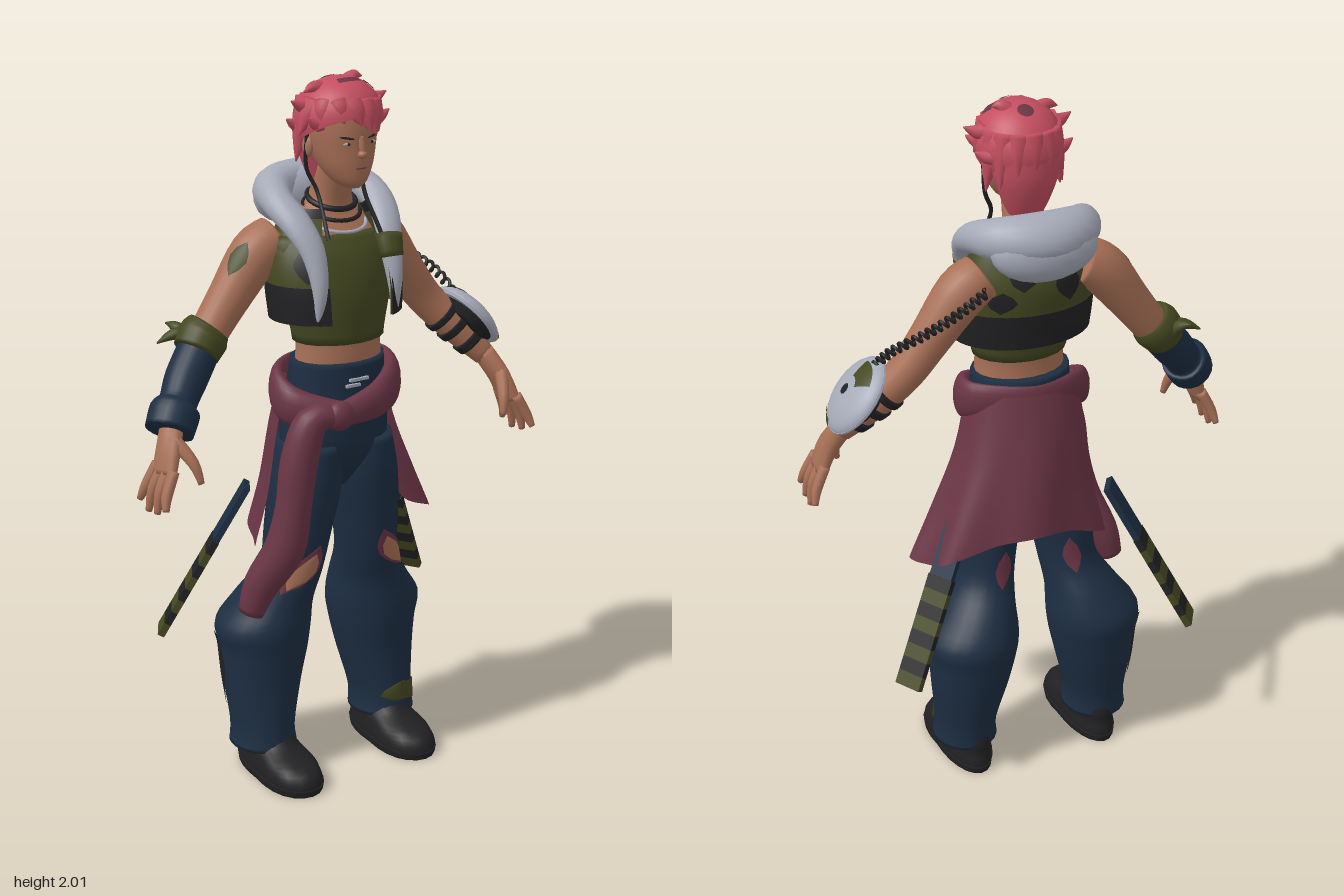
import * as THREE from 'three';

const colour = (name, hex, side = THREE.FrontSide) => {
  const m = new THREE.MeshStandardMaterial({ color: hex, side });
  m.name = name;
  return m;
};
const HAIR = colour('rose hair', 0xc34e60, THREE.DoubleSide);
const SKIN = colour('tan skin', 0xa87056, THREE.DoubleSide);
const NAVY = colour('navy cloth', 0x1d2e42);
const WINE = colour('wine cloth', 0x6a3545, THREE.DoubleSide);
const OLIVE = colour('olive cloth', 0x444820, THREE.DoubleSide);
const GREY = colour('pale grey', 0xa6aab8);
const BLACK = colour('black', 0x212123, THREE.DoubleSide);

const V = (x, y, z) => new THREE.Vector3(x, y, z);
const X = V(1, 0, 0), Y = V(0, 1, 0), Z = V(0, 0, 1);
const mirror = (rows, s) => rows.map(([x, ...rest]) => [s * x, ...rest]);

// Smooth interpolation of rows [x, y, z, radiusA, radiusB]
function at(rows, t) {
  const n = rows.length - 1, f = Math.min(Math.max(t, 0), 1) * n;
  const i = Math.min(Math.floor(f), n - 1), k = f - i;
  const get = j => rows[Math.min(Math.max(j, 0), n)];
  return [0, 1, 2, 3, 4].map(c => {
    const [a, b, d, e] = [get(i - 1), get(i), get(i + 1), get(i + 2)].map(r => r[c] ?? r[3]);
    return b + 0.5 * k * (d - a + k * (2 * a - 5 * b + 4 * d - e + k * (3 * (b - d) + e - a)));
  });
}

// Elliptical cross-sections: level rings by default, across the path when ref is given
function loft(name, mat, rows, o = {}) {
  const { seg = 20, steps = 4, t0 = 0, t1 = 1, grow = 0, ref = null, arc = null, shape = null } = o;
  const n = Math.max(4, Math.ceil((rows.length - 1) * steps * (t1 - t0)));
  const cols = arc ? seg + 1 : seg, pos = [], idx = [];
  for (let i = 0; i <= n; i++) {
    const k = i / n, t = t0 + (t1 - t0) * k, r = at(rows, t);
    let tan = Y;
    if (ref) tan = V(...at(rows, t + 0.01)).sub(V(...at(rows, t - 0.01))).normalize();
    const u = tan.clone().cross(ref ?? Z).normalize(), v = u.clone().cross(tan);
    const [a0, a1] = arc ? arc(k) : [0, Math.PI * 2];
    for (let j = 0; j < cols; j++) {
      const a = a0 + (a1 - a0) * j / seg;
      const p = V(r[0], r[1], r[2])
        .addScaledVector(u, Math.cos(a) * (Math.max(r[3], 0.001) + grow))
        .addScaledVector(v, Math.sin(a) * (Math.max(r[4], 0.001) + grow));
      if (shape) shape(p, k, a);
      pos.push(p.x, p.y, p.z);
    }
  }
  for (let i = 0; i < n; i++) for (let j = 0; j < seg; j++) {
    const a = i * cols + j, b = i * cols + (j + 1) % cols;
    idx.push(a, a + cols, b, b, a + cols, b + cols);
  }
  if (!arc) {
    const c = pos.length / 3, end = n * cols;
    pos.push(...at(rows, t0).slice(0, 3), ...at(rows, t1).slice(0, 3));
    for (let j = 0; j < seg; j++) {
      const q = (j + 1) % seg;
      idx.push(c, j, q, c + 1, end + q, end + j);
    }
  }
  const g = new THREE.BufferGeometry();
  g.setAttribute('position', new THREE.Float32BufferAttribute(pos, 3));
  g.setIndex(idx);
  g.computeVertexNormals();
  return put(name, g, mat);
}
function put(name, geo, mat, x = 0, y = 0, z = 0) {
  const m = new THREE.Mesh(geo, mat);
  m.name = name;
  m.position.set(x, y, z);
  return m;
}
const blob = (name, mat, x, y, z, a, b, c) =>
  put(name, new THREE.SphereGeometry(1, 20, 12).scale(a, b, c), mat, x, y, z);
// Leaf-shaped patch lying on a lofted surface, drifting round it by an angle
const patch = (name, mat, rows, t0, t1, ang, w, grow, drift = 0, ref = null) => loft(name, mat, rows, { t0, t1, grow, ref, seg: 8,
  arc: k => { const h = w * (Math.sin(Math.PI * k) + 0.02), c = ang + drift * (k - .5); return [c - h, c + h]; } });
// Tapered, slightly bowed lock
function strand(name, mat, a, b, r, lift = 0.01) {
  const ref = Math.abs(b[0] - a[0]) > 0.5 * V(...a).distanceTo(V(...b)) ? Z : X;
  const mid = a.map((q, i) => (q + b[i]) / 2 + (i === 1 ? lift : 0));
  return loft(name, mat, [[...a, r], [...mid, r * 0.75], [...b, 0.002]], { ref, seg: 8 });
}
const tube = (name, mat, pts, r, n = 24) =>
  put(name, new THREE.TubeGeometry(new THREE.CatmullRomCurve3(pts.map(p => V(...p))), n, r, 6), mat);

const TORSO = [[0, 1.14, .05, .13, .09], [0, 1.22, .06, .13, .095], [0, 1.3, .06, .128, .095], [0, 1.42, .05, .155, .11],
  [0, 1.52, .03, .175, .11], [0, 1.58, .015, .165, .09], [0, 1.63, .01, .11, .065], [0, 1.67, .02, .062, .055], [0, 1.77, .05, .055, .055]];
const VEST = [[0, 1.355, .05, .192, .142], [0, 1.45, .04, .198, .145], [0, 1.53, .025, .188, .135], [0, 1.6, .01, .155, .1], [0, 1.65, .005, .115, .08]];
const ARM = [[.145, 1.56, -.03, .066], [.205, 1.525, -.035, .07], [.295, 1.41, -.035, .058], [.365, 1.32, -.03, .052], [.44, 1.24, 0, .05], [.525, 1.14, .05, .033]];
const LEG = [[.21, .085, -.015, .095, .105], [.208, .15, -.02, .09, .105], [.198, .28, -.035, .113, .118], [.19, .38, -.038, .128, .132], [.19, .45, -.038, .137, .14],
  [.163, .53, -.02, .108, .122], [.13, .62, .015, .086, .102], [.115, .74, .03, .092, .106], [.096, .88, .04, .1, .112], [.085, 1, .04, .085, .11]];

function head() {
  const g = new THREE.Group();
  g.name = 'head';
  g.add(loft('face', SKIN, [[0, 1.712, .125, .02, .025], [0, 1.73, .11, .046, .055], [0, 1.77, .09, .073, .08], [0, 1.82, .075, .09, .095],
    [0, 1.87, .07, .097, .1], [0, 1.93, .06, .095, .1], [0, 1.97, .06, .06, .07]]));
  g.add(strand('nose', SKIN, [0, 1.85, .16], [0, 1.797, .18], .012, 0));
  g.add(blob('noseTip', SKIN, 0, 1.805, .172, .013, .011, .014));
  g.add(blob('mouth', WINE, 0, 1.768, .164, .02, .003, .007));
  for (const s of [1, -1]) {
    g.add(blob('eye', GREY, s * .038, 1.834, .159, .014, .004, .005));
    g.add(blob('iris', BLACK, s * .037, 1.834, .162, .005, .004, .003));
    const brow = blob('eyebrow', BLACK, s * .04, 1.85, .16, .021, .003, .006);
    brow.rotation.set(0, s * .35, s * .15);
    g.add(brow, blob('ear', SKIN, s * .094, 1.82, .055, .012, .03, .02));
    g.add(tube('sideCord', BLACK, [[s * .1, 1.86, .06], [s * .098, 1.76, .055], [s * .075, 1.7, .07], [s * .085, 1.58, .14]], .006));
    for (const [y, z, x, r] of [[1.94, .055, .152, .026], [1.885, .01, .138, .024], [1.9, .1, .13, .024]])
      g.add(strand('sideSpike', HAIR, [s * .08, y - .015, z], [s * x, y + .004, z + .01], r, -.006));
  }
  // Hair cap with dark roots, nape and ring of locks
  const cap = new THREE.Group();
  cap.name = 'hairCap';
  cap.position.set(0, 1.885, .06);
  cap.rotation.x = -.45;
  const shell = (p, pl, t, tl, k) => new THREE.SphereGeometry(1, 28, 14, p, pl, t, tl).scale(.12 * k, .113 * k, .124 * k);
  cap.add(put('hair', shell(0, Math.PI * 2, 0, 1.9, 1), HAIR), put('roots', shell(0, Math.PI * 2, 0, .18, 1.015), WINE));
  cap.add(put('frontRoots', shell(1.2, .75, .75, .18, 1.015), WINE), put('nearRoots', shell(2.2, .35, .8, .3, 1.015), WINE));
  g.add(cap, loft('napeHair', HAIR, [[0, 1.69, .012, .04, .03], [0, 1.74, .008, .065, .048], [0, 1.81, .01, .09, .07], [0, 1.88, .03, .105, .09]]));
  for (let k = 0; k < 15; k++) {
    const a = k / 15 * Math.PI * 2 + .1, c = Math.cos(a), q = Math.sin(a), j = Math.sin(k * 5.3);
    const tip = q > 0 ? [.122 * c + .022 * j, 1.868 + .022 * j, .06 + .125 * q] : [.115 * c, 1.8 + .025 * j, .055 + .112 * q];
    g.add(strand('lock', HAIR, [.08 * c, 1.935, .06 + .084 * q], tip, .034, .004));
  }
  g.add(strand('crownLock', HAIR, [.03, 1.975, .05], [.075, 1.99, .06], .022), strand('crownLock', HAIR, [-.05, 1.965, .06], [-.115, 1.965, .07], .022));
  return g;
}

function hand(s) {
  const g = new THREE.Group();
  g.name = s > 0 ? 'leftHand' : 'rightHand';
  g.add(loft('palm', SKIN, mirror([[.52, 1.15, .05, .031, .031], [.555, 1.08, .085, .027, .045], [.58, 1.01, .1, .02, .052]], s), { ref: Z, seg: 12 }));
  for (let k = 0; k < 4; k++) {
    const z = .058 + .028 * k, end = [.93, .91, .915, .935][k];
    g.add(loft('finger', SKIN, mirror([[.575, 1.03, z, .016], [.605, .97, z + (k - 1.4) * .008, .015], [.616, end, z + (k - 1.5) * .018, .009]], s), { ref: Z, seg: 8 }));
  }
  g.add(loft('thumb', SKIN, mirror([[.548, 1.1, .1, .02], [.52, 1.045, .15, .016], [.507, .99, .168, .009]], s), { ref: Z, seg: 8 }));
  return g;
}

// Flat striped scabbard hanging behind the hip
function scabbard(s) {
  const g = new THREE.Group();
  g.name = 'scabbard';
  const a = V(s * .225, .86, -.06), b = V(s * .44, .42, -.19), d = b.clone().sub(a), len = d.length();
  d.normalize();
  const w = V(d.z, 0, -d.x).normalize();
  g.quaternion.setFromRotationMatrix(new THREE.Matrix4().makeBasis(w, d, w.clone().cross(d)));
  g.position.copy(a);
  g.add(put('sheathTop', new THREE.BoxGeometry(.075, len * .36, .018), NAVY, 0, len * .18, 0));
  for (let k = 0; k < 8; k++)
    g.add(put('stripe', new THREE.BoxGeometry(.082, len * .08, .02), k % 2 ? OLIVE : BLACK, 0, len * (.4 + k * .08), 0));
  return g;
}

export function createModel() {
  const model = new THREE.Group();
  model.name = 'youngFighter';
  const add = (...m) => model.add(...m);
  add(head());

  // Torso, shirt and open vest
  const open = () => [Math.PI / 2 + .52, Math.PI * 2.5 - .52];
  add(loft('torso', SKIN, TORSO), loft('shirt', OLIVE, TORSO, { t0: .235, t1: .63, grow: .009 }));
  add(loft('vest', OLIVE, VEST, { arc: open, seg: 32 }));
  add(loft('vestBand', BLACK, VEST, { arc: open, seg: 32, t1: .27, grow: .006 }));
  [[.3, .6, 2.4], [.24, .5, .75], [.35, .7, 4.3], [.3, .5, 5.3], [.5, .75, 5.0], [.3, .5, 3.5]].forEach(([a, b, c]) =>
    add(patch('vestPatch', BLACK, VEST, a, b, c, .22, .006)));
  add(loft('vestNeckEdge', BLACK, VEST, { arc: open, seg: 32, t0: .86, grow: .004 }));

  // Collar and hood
  const half = [[.128, 1.355, .15, .008, .008], [.122, 1.45, .155, .022, .02], [.125, 1.55, .125, .036, .026], [.143, 1.62, .07, .044, .034],
    [.15, 1.665, -.01, .045, .044], [.105, 1.685, -.095, .055, .06]];
  const collar = [...half, [0, 1.69, -.13, .055, .07], ...mirror(half, -1).reverse()], slope = V(0, .6, .8);
  add(loft('hoodCollar', GREY, collar, { ref: slope }));
  add(loft('collarPatch', OLIVE, collar, { ref: slope, t0: .13, t1: .18, grow: .003 }));
  const sack = blob('hood', GREY, 0, 1.655, -.115, .152, .092, .074);
  sack.rotation.x = .35;
  add(sack);

  // Necklaces
  [[.066, 1.665, .028, BLACK, .008], [.078, 1.64, .03, BLACK, .006], [.088, 1.615, .04, GREY, .005]].forEach(([r, y, z, m, t]) => {
    const n = put('necklace', new THREE.TorusGeometry(r, t, 8, 28), m, 0, y, z);
    n.rotation.x = Math.PI / 2 + .3;
    add(n);
  });

  for (const s of [1, -1]) {
    add(loft('arm', SKIN, mirror(ARM, s), { ref: Z }), hand(s), scabbard(s));
    // Trouser leg with slanted knee rip
    const leg = mirror(LEG, s);
    add(loft('trouserLeg', NAVY, leg, { seg: 24 }));
    add(patch('ripEdge', WINE, leg, .61, .755, Math.PI / 2 - s * .3, .55, .004, s * .8));
    add(patch('ripSkin', SKIN, leg, .625, .735, Math.PI / 2 - s * .3, .4, .007, s * .6));
    add(patch('rearRip', WINE, leg, .65, .76, -Math.PI / 2 - s * .2, .3, .005));
    // Boot, broad across the toes
    const shape = p => { p.x = s * .2 + (p.x - s * .2) * (1 + .4 * Math.max(0, (p.z - .05) / .18)); };
    add(loft('boot', BLACK, [[s * .2, 0, .05, .07, .18], [s * .2, .03, .05, .074, .182], [s * .2, .065, .04, .07, .165],
      [s * .2, .1, -.01, .066, .115], [s * .2, .15, -.025, .058, .085]], { shape }));
    add(loft('bootSole', BLACK, [[s * .2, 0, .05, .074, .18], [s * .2, .022, .05, .077, .184]], { seg: 24, shape }));
  }
  add(patch('hemPatch', OLIVE, LEG, .07, .15, 1.2, 1, .005, .6));
  add(patch('calfPatch', BLACK, mirror(LEG, -1), .15, .4, 3.6, .4, .004));
  add(patch('shoulderMark', OLIVE, mirror(ARM, -1), .2, .33, .5, .4, .003, 0, Z));

  // Trouser seat and waistband
  add(loft('trouserSeat', NAVY, [[0, .86, .04, .02, .05], [0, .92, .04, .1, .09], [0, .98, .04, .158, .115], [0, 1.07, .04, .162, .125],
    [0, 1.15, .05, .148, .112], [0, 1.235, .055, .142, .106]]));
  for (const [x, y, w] of [[0, 1.187, .06], [-.02, 1.172, .045]])
    add(put('buckle', new THREE.BoxGeometry(w, .008, .009), GREY, x, y, .163));

  // Jacket tied round the hips: band, knot, hanging sleeve and rear panel
  add(loft('jacketBand', WINE, [[-.06, 1.1, .175, .025, .035], [.06, 1.12, .165, .03, .052], [.15, 1.15, .1, .03, .065], [.152, 1.18, 0, .022, .05], [0, 1.18, -.07, .012, .045],
    [-.15, 1.17, -.01, .022, .05], [-.17, 1.12, .09, .033, .055], [-.06, 1.1, .175, .025, .035]], { ref: Y, steps: 6 }));
  add(blob('knot', WINE, -.075, 1.1, .18, .045, .042, .032));
  add(loft('hangingSleeve', WINE, [[-.08, 1.1, .175, .03], [-.15, 1.09, .155, .045], [-.185, .98, .145, .052], [-.205, .85, .145, .05], [-.225, .73, .13, .057],
    [-.272, .62, .085, .05], [-.298, .535, .07, .036]], { ref: Z }));
  add(loft('rearPanel', WINE, [[.05, .81, 0, .29, .175], [.035, .92, .01, .24, .165], [.01, 1.06, .02, .192, .142], [0, 1.2, .04, .16, .12]], {
    seg: 48, arc: () => [Math.PI - .05, Math.PI * 2 + .15],
    shape: (p, k, a) => {
      const f = 1 - k, c = Math.cos(a), fold = 1 + .05 * f * Math.sin(a * 7);
      p.set(p.x * fold, p.y - f * .11 * c * c, p.z * fold);
    } }));

  // Right forearm wrap with tied band
  add(loft('armGuard', NAVY, [[-.385, 1.3, -.028, .058], [-.45, 1.225, .002, .058], [-.495, 1.172, .032, .052], [-.507, 1.158, .04, .068], [-.54, 1.11, .062, .066]], { ref: Z }));
  add(loft('elbowBand', OLIVE, [[-.355, 1.345, -.03, .06], [-.375, 1.322, -.03, .07], [-.405, 1.285, -.02, .064]], { ref: Z }));
  add(strand('bandTail', OLIVE, [-.4, 1.33, -.06], [-.49, 1.31, -.08], .022), strand('bandTail', OLIVE, [-.4, 1.31, -.07], [-.44, 1.35, -.12], .022));

  // Left forearm shield with straps and coiled cord
  const shield = new THREE.Group();
  shield.name = 'shield';
  shield.position.set(.487, 1.253, .012);
  shield.quaternion.setFromUnitVectors(Y, V(.77, .64, 0).normalize());
  const dome = (t, p, pl, tl, k) => new THREE.SphereGeometry(1, 24, 12, p, pl, t, tl).scale(.118 * k, .045 * k, .106 * k);
  shield.add(put('shieldDome', dome(0, 0, Math.PI * 2, Math.PI / 2, 1), GREY), put('shieldRim', new THREE.CylinderGeometry(.118, .108, .014, 28).scale(1, 1, .9), GREY));
  shield.add(put('shieldPad', new THREE.CylinderGeometry(.095, .07, .025, 24), BLACK, 0, -.018, 0));
  shield.add(put('shieldPatch', dome(.35, 5.3, 1.2, .55, 1.03), OLIVE), put('shieldPatch', dome(.9, 2.4, .7, .4, 1.03), OLIVE));
  shield.add(put('shieldBoss', dome(0, 0, Math.PI * 2, .13, 1.04), BLACK));
  add(shield);
  for (const t of [.72, .8, .88])
    add(loft('shieldStrap', BLACK, ARM, { ref: Z, t0: t, t1: t + .035, grow: .007 }));
  const path = new THREE.CatmullRomCurve3([V(.16, 1.55, -.11), V(.25, 1.5, -.115), V(.335, 1.45, -.095), V(.41, 1.39, -.04), V(.445, 1.3, .04)]);
  const coil = [];
  for (let i = 0; i <= 200; i++) {
    const p = path.getPoint(i / 200), a = i / 200 * Math.PI * 2 * 20;
    coil.push([p.x + .006 * Math.cos(a), p.y + .01 * Math.cos(a), p.z + .01 * Math.sin(a)]);
  }
  add(tube('coiledCord', BLACK, coil, .005, 400));
  return model;
}
